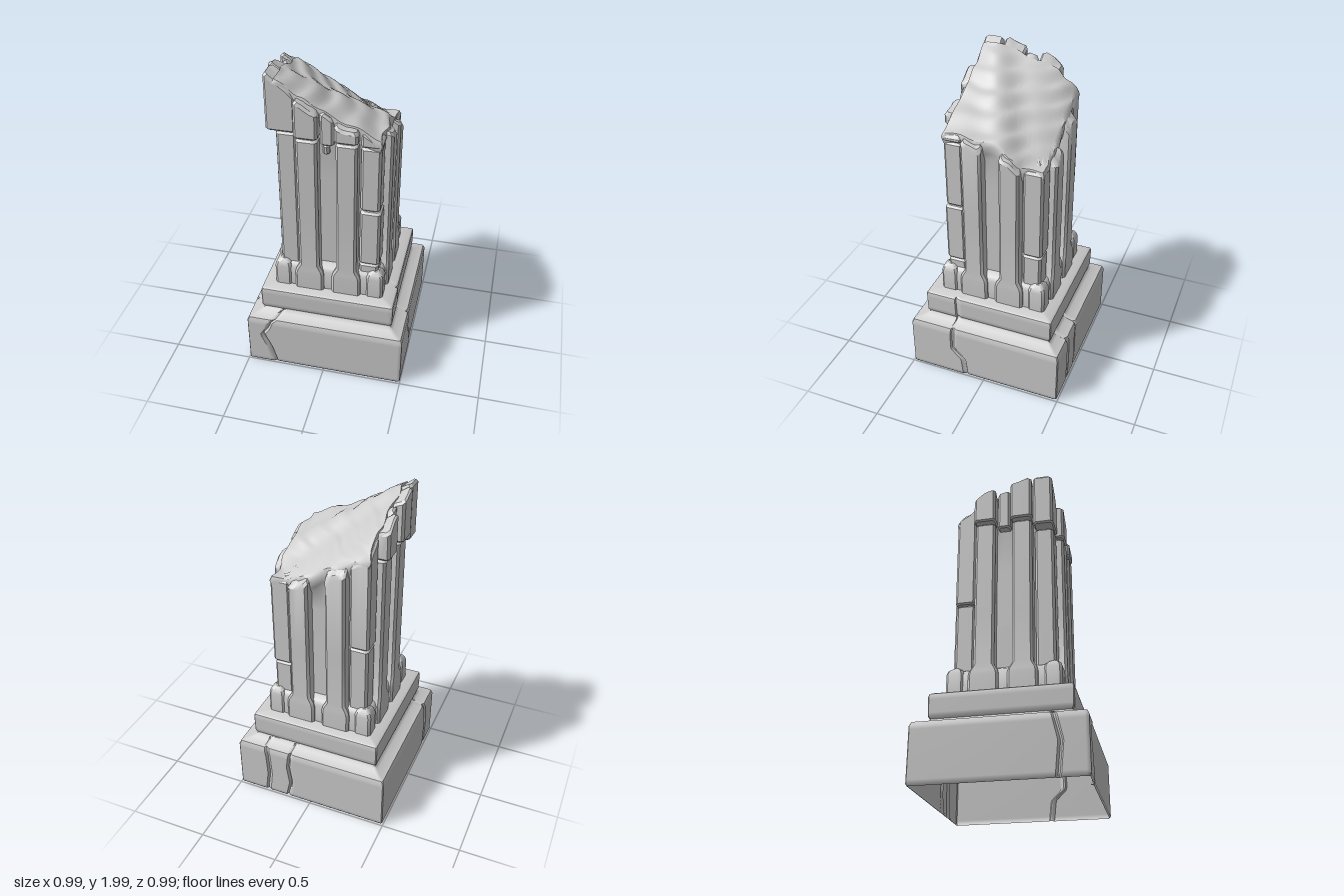
import * as THREE from 'three';
import { toCreasedNormals } from 'three/addons/utils/BufferGeometryUtils.js';

const clamp = THREE.MathUtils.clamp;

// Height of the broken top: a sloping surface with soft ledges and bumps
function breakHeight(x, z) {
  const fall = (z > 0.12 ? 1.1 : 0.6) * (z - 0.12) ** 2;
  const slope = 1.765 - (x < 0 ? 0.57 : 0.47) * x + 0.2 * z - fall + 0.012 * Math.sin(17 * z + 8 * x);
  const s = slope / 0.075, f = Math.floor(s);
  const ledge = 0.075 * (f + THREE.MathUtils.smoothstep(s - f, 0.1, 0.9));
  const bumps = 0.008 * Math.sin(21 * x + 9 * z) * Math.sin(19 * z - 7 * x + 1);
  return clamp(0.4 * slope + 0.6 * ledge + bumps, 1.52, 2);
}

// Skin a stack of closed rings of [x, y, z], running anticlockwise seen from above
function loft(rings, capped = true, crease = 0.55) {
  const n = rings[0].length, pos = [], idx = [];
  rings.forEach(r => r.forEach(p => pos.push(...p)));
  for (let i = 0; i < rings.length - 1; i++) {
    for (let j = 0; j < n; j++) {
      const a = i * n + j, b = i * n + (j + 1) % n;
      idx.push(a, b, b + n, a, b + n, a + n);
    }
  }
  const cap = (ring, start, flip) => {
    const c = [0, 1, 2].map(k => ring.reduce((s, p) => s + p[k], 0) / n);
    const ci = pos.length / 3;
    pos.push(...c);
    for (let j = 0; j < n; j++) {
      const a = start + j, b = start + (j + 1) % n;
      idx.push(ci, flip ? b : a, flip ? a : b);
    }
  };
  if (capped) {
    cap(rings[rings.length - 1], (rings.length - 1) * n, false);
    cap(rings[0], 0, true);
  }
  const g = new THREE.BufferGeometry();
  g.setAttribute('position', new THREE.Float32BufferAttribute(pos, 3));
  g.setIndex(idx);
  return toCreasedNormals(g, crease);
}

// Outline of a rectangle with chamfered corners, each edge divided into steps
function rectangle(x0, x1, z0, z1, c, steps) {
  const out = [];
  const edge = (ax, az, bx, bz) => {
    for (let i = 0; i <= steps; i++) {
      const t = i / steps;
      out.push([ax + (bx - ax) * t, az + (bz - az) * t]);
    }
  };
  edge(x1, z1 - c, x1, z0 + c);
  edge(x1 - c, z0, x0 + c, z0);
  edge(x0, z0 + c, x0, z1 - c);
  edge(x0 + c, z1, x1 - c, z1);
  return out;
}

// Quarter turns about the column axis
function turn(x, z, k) {
  for (let i = 0; i < k; i++) [x, z] = [z, -x];
  return [x, z];
}

// Stone block on side k; rows are [y, widen, deepen, drop below the break]
function block(k, x0, x1, z0, z1, rows) {
  return loft(rows.map(([y, w, d, drop = 0]) =>
    rectangle(x0 - w, x1 + w, z0 - d, z1 + d, 0.014, 4).map(([px, pz]) => {
      const [x, z] = turn(px, pz, k);
      return [x, Math.min(y, breakHeight(x, z) - drop), z];
    })));
}

const chunkRows = (y0, y1) => [
  [y0, -0.008, -0.008], [y0 + 0.01, 0, 0],
  [y1 - 0.012, 0, 0, 0.026], [y1, -0.012, -0.012, 0.01],
];

// Cracks in the plinth: side, middle, [y, position] path, raised side, top limit
const cracks = [
  { side: 'front', mid: -0.35, path: [[0, -0.31], [0.13, -0.35], [0.23, -0.4], [0.28, -0.365], [0.34, -0.34], [0.39, -0.27]], raise: -1, top: 0.39 },
  { side: 'right', mid: 0.18, path: [[0, 0.12], [0.13, 0.135], [0.2, 0.215], [0.4, 0.21], [0.56, 0.215]], raise: 1, top: 0.5545 },
  { side: 'back', mid: 0.3, path: [[0, 0.3], [0.15, 0.28], [0.3, 0.29], [0.39, 0.31]], raise: 0, top: 0.39 },
  { side: 'back', mid: 0.14, path: [[0, 0.16], [0.12, 0.13], [0.25, 0.15], [0.39, 0.13]], raise: 0, top: 0.39 },
  { side: 'left', mid: 0.32, path: [[0, 0.33], [0.2, 0.35], [0.39, 0.3]], raise: 0, top: 0.39 },
];

function pathAt(path, y) {
  for (let i = 1; i < path.length; i++) {
    const [ya, a] = path[i - 1], [yb, b] = path[i];
    if (y <= yb) return a + (b - a) * clamp((y - ya) / (yb - ya), 0, 1);
  }
  return path[path.length - 1][1];
}

// Slide wall points so a column of them follows each crack, and sink that column
function crackWall(side, t, y, h) {
  const v = t / h * 0.494;
  let slide = 0, out = 0;
  for (const c of cracks) {
    if (c.side !== side || y > c.top) continue;
    const d = v - c.mid;
    slide += (pathAt(c.path, y) - c.mid * h / 0.494) * Math.max(0, 1 - Math.abs(d) / 0.13);
    out -= 0.02 * Math.max(0, 1 - Math.abs(d) / 0.012);
    if (d * c.raise > 0) out += 0.005;
  }
  return [t + slide, h + out];
}

// Stepped plinth, open underneath
function plinthGeometry() {
  const profile = [[0.486, 0], [0.494, 0.012], [0.494, 0.335], [0.484, 0.36], [0.425, 0.376],
    [0.408, 0.388], [0.404, 0.398], [0.414, 0.415], [0.416, 0.53], [0.412, 0.546], [0.4, 0.554], [0.25, 0.555]];
  const rows = [profile[0]];
  for (let i = 1; i < profile.length; i++) {
    const [ha, ya] = profile[i - 1], [hb, yb] = profile[i];
    const n = Math.max(1, Math.round((yb - ya) / 0.02));
    for (let j = 1; j <= n; j++) rows.push([ha + (hb - ha) * j / n, ya + (yb - ya) * j / n]);
  }
  return loft(rows.map(([h, y]) => rectangle(-h, h, -h, h, 0.006, 90).map(([x, z]) => {
    if (Math.abs(z) >= Math.abs(x)) {
      const [t, out] = crackWall(z > 0 ? 'front' : 'back', x, y, h);
      return [t, y, Math.sign(z) * out];
    }
    const [t, out] = crackWall(x > 0 ? 'right' : 'left', z, y, h);
    return [Math.sign(x) * out, y, t];
  })), false, 0.6);
}

// Square core, swelling to a ragged rim, closed in rings over the broken surface
function coreGeometry() {
  const rows = [[0.55, 0.275, 0], [1, 0.275, 0], [1.35, 0.275, 0], [9, 0.276, 0.13],
    [9, 0.296, 0.08], [9, 0.306, 0.025], [9, 0.298, 0]];
  for (let h = 0.28; h > 0.01; h -= 0.02) rows.push([9, h, 0]);
  return loft(rows.map(([y, h, drop]) => rectangle(-h, h, -h, h, 0.02 * h, 24).map(([px, pz]) => {
    const ragged = h > 0.276 ? 1 + 0.04 * Math.sin(31 * px + 2) * Math.cos(27 * pz) : 1;
    const x = px * ragged, z = pz * ragged;
    return [x, Math.min(y, breakHeight(x, z) - drop), z];
  })), true, 0.9);
}

export function createModel() {
  const model = new THREE.Group();
  const stone = new THREE.MeshStandardMaterial({ color: 0xcccccc, side: THREE.DoubleSide });
  stone.name = 'grey stone';
  const add = (name, geometry) => {
    const m = new THREE.Mesh(geometry, stone);
    m.name = name;
    model.add(m);
  };

  add('plinth', plinthGeometry());
  add('core', coreGeometry());

  // Footing ring around the foot of the shaft
  add('footing', block(0, -0.275, 0.275, -0.275, 0.275,
    [[0.55, 0.055, 0.055], [0.685, 0.055, 0.055], [0.71, 0.04, 0.04], [0.735, -0.005, -0.005]]));

  // Seams of the corner stones on each quarter, as [bottom, top] pairs
  const cornerStones = [
    [[0.7, 0.775], [0.782, 1.165], [1.172, 1.595], [1.602, 9]],
    [[0.7, 0.925], [0.932, 1.51]],
    [[0.7, 1.15], [1.157, 9]],
    [[0.7, 1.635], [1.642, 9]],
  ];
  // Height where each side's pilasters split from their crown stones
  const crownSeam = [1.625, 9, 9, 1.69];

  for (let k = 0; k < 4; k++) {
    add('cornerFoot', block(k, 0.235, 0.34, 0.235, 0.34,
      [[0.55, 0, 0], [0.69, 0, 0], [0.715, -0.008, -0.008], [0.735, -0.03, -0.03]]));
    cornerStones[k].forEach(([y0, y1], i) => {
      const crown = k === 3 && i === 1;
      const out = 0.302 + (i % 2 ? 0.006 : 0);
      add(crown ? 'cornerCrown' : 'cornerStone',
        block(k, 0.185, out, 0.185, crown ? 0.36 : out, chunkRows(y0, y1)));
    });
    for (const x of [-0.118, 0.112]) {
      const top = crownSeam[k];
      add('pilaster', block(k, x - 0.062, x + 0.062, 0.2, 0.346, [
        [0.55, 0.028, 0.006], [0.67, 0.028, 0.006], [0.695, 0.022, 0.004], [0.735, 0, 0],
        [1.1, 0, 0], [top - 0.012, 0, 0, 0.026], [top, -0.012, -0.012, 0.01]]));
      if (top < 2) {
        const bulge = k === 3 ? 0.37 : 0.35;
        add('pilasterCrown', block(k, x - 0.07, x + 0.066, 0.2, bulge, chunkRows(top + 0.008, 9)));
      }
    }
  }

  // Small crown stones wedged between the pilasters
  add('wedgeStone', block(0, -0.045, 0.035, 0.2, 0.318, chunkRows(1.59, 9)));
  add('wedgeStone', block(0, -0.035, 0.005, 0.2, 0.3, chunkRows(1.52, 1.585)));
  add('wedgeStone', block(3, -0.045, 0.035, 0.2, 0.33, chunkRows(1.66, 9)));
  return model;
}
